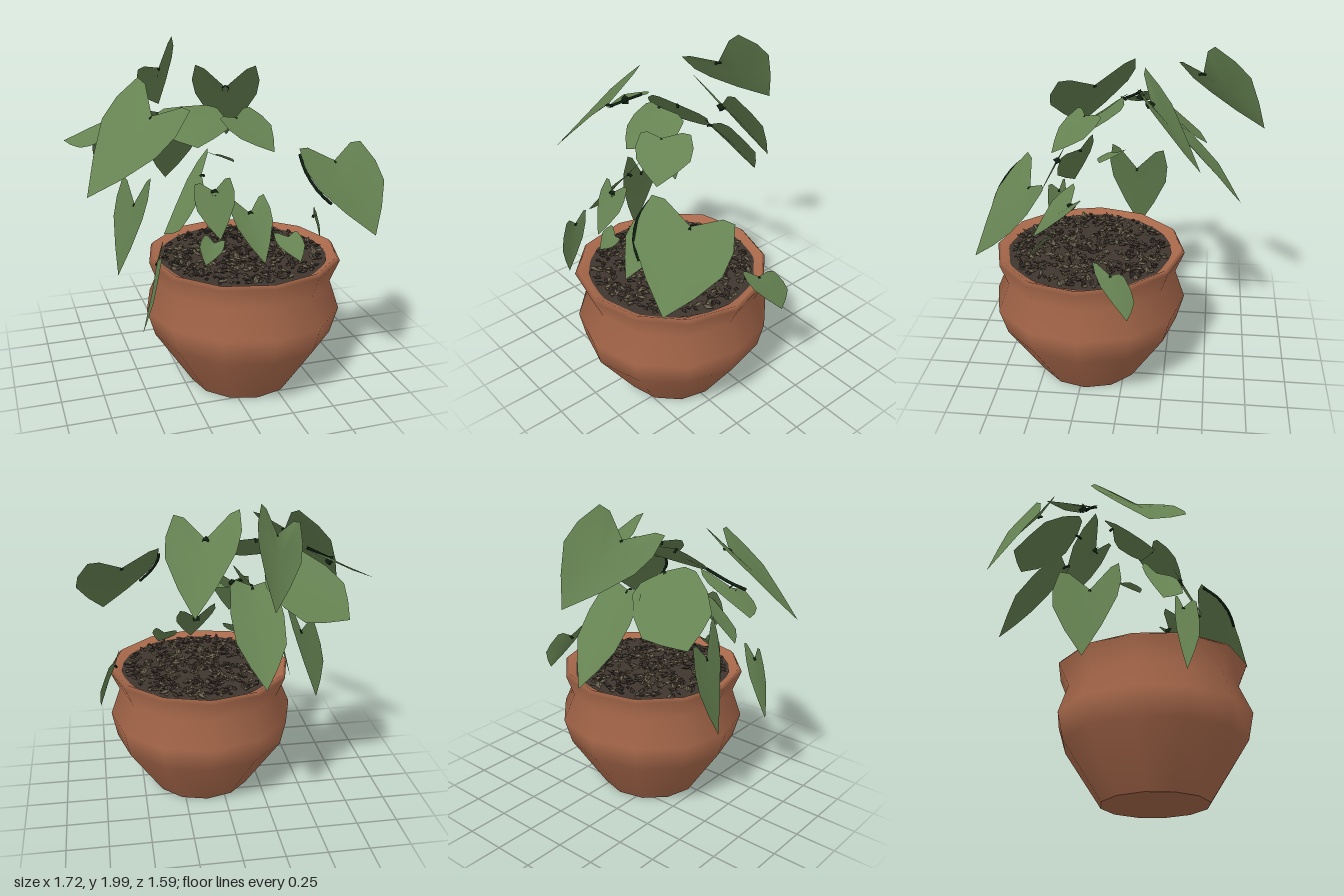
import * as THREE from 'three';

const V = (a) => new THREE.Vector3(...a);
const CX = 0.115, CZ = 0.22; // pot axis

function material(name, color, side = THREE.FrontSide) {
  const m = new THREE.MeshStandardMaterial({ color, side });
  m.name = name;
  return m;
}

function seeded(seed) {
  return () => (seed = (seed * 16807) % 2147483647) / 2147483647;
}

// Heart-shaped blade from its two lobe tops, notch and tip, with a creased midrib
function leafGeometry(left, right, notch, tip) {
  const [L, R, N, T] = [left, right, notch, tip].map(V);
  const along = T.clone().sub(N), across = L.clone().sub(R);
  const side = (P, k, out) => P.clone().addScaledVector(along, k).addScaledVector(across, out);
  const half = (P, s) => [
    P.clone().lerp(N, 0.3).addScaledVector(along, -0.06),
    P, side(P, 0.28, 0.07 * s), side(P, 0.55, 0.03 * s),
    side(P, 0.55, 0.03 * s).lerp(T, 0.5).addScaledVector(across, 0.03 * s)];
  const rim = [N, ...half(L, 1), T, ...half(R, -1).reverse()];
  const mid = L.clone().add(R).multiplyScalar(0.5).addScaledVector(along, 0.45);
  const centre = N.clone().lerp(T, 0.42).lerp(mid, 0.3);
  const pts = [centre, ...rim], index = [];
  rim.forEach((_, i) => index.push(0, 1 + i, 1 + (i + 1) % rim.length));
  const g = new THREE.BufferGeometry().setFromPoints(pts);
  // wind every blade so that its front looks upward
  const up = new THREE.Vector3().crossVectors(across, along).y;
  if (up < 0) index.reverse();
  g.setIndex(index);
  g.computeVertexNormals();
  return g;
}

// left lobe, right lobe, notch, tip
const LEAVES = {
  frontLeft: [[0.33, 1.49, 0.52], [0.78, 1.46, 0.35], [0.57, 1.39, 0.46], [0.70, 1.03, 0.75]],
  largeRight: [[-0.44, 1.83, 0.0], [-0.26, 1.72, 0.45], [-0.42, 1.66, 0.25], [-0.81, 1.28, 0.40]],
  outerRight: [[-0.66, 1.50, 0.08], [-0.46, 1.62, -0.06], [-0.64, 1.54, -0.02], [-0.85, 1.46, -0.16]],
  backRight: [[-0.45, 1.61, -0.09], [-0.19, 1.48, -0.31], [-0.28, 1.59, -0.15], [-0.65, 1.30, -0.41]],
  backTop: [[-0.38, 1.83, -0.27], [-0.12, 1.99, -0.48], [-0.22, 1.81, -0.42], [-0.14, 1.51, -0.79]],
  backLow: [[0.01, 1.50, -0.31], [-0.25, 1.48, -0.31], [-0.12, 1.48, -0.27], [-0.13, 1.03, -0.68]],
  backLeft: [[-0.08, 1.87, -0.09], [0.29, 1.85, -0.08], [0.12, 1.72, -0.14], [0.22, 1.36, -0.43]],
  middle: [[0.01, 1.64, 0.04], [-0.34, 1.63, 0.04], [-0.20, 1.66, 0.05], [-0.18, 1.48, 0.31]],
  middleLeft: [[0.18, 1.65, 0.13], [-0.05, 1.63, 0.30], [0.06, 1.62, 0.24], [0.23, 1.45, 0.41]],
  innerRight: [[-0.10, 1.45, 0.22], [-0.20, 1.25, 0.44], [-0.16, 1.33, 0.31], [-0.40, 1.03, 0.39]],
  frontHanging: [[-0.03, 1.33, 0.42], [-0.23, 1.31, 0.42], [-0.13, 1.27, 0.45], [-0.13, 1.03, 0.57]],
  frontDrooping: [[-0.42, 1.02, 0.46], [-0.46, 0.95, 0.58], [-0.47, 0.92, 0.51], [-0.56, 0.52, 0.53]],
  sideDrooping: [[-0.41, 1.28, 0.14], [-0.51, 1.21, -0.18], [-0.48, 1.09, -0.01], [-0.59, 0.64, -0.02]],
  lowFront: [[0.23, 1.16, 0.25], [0.0, 1.17, 0.33], [0.12, 1.08, 0.33], [0.13, 0.86, 0.57]],
  lowLeft: [[0.62, 0.98, 0.13], [0.69, 0.94, -0.05], [0.65, 0.92, 0.03], [0.75, 0.70, -0.07]],
  sproutLeft: [[0.24, 0.97, 0.40], [0.37, 0.98, 0.44], [0.32, 0.95, 0.43], [0.35, 0.84, 0.55]],
  sproutRight: [[-0.18, 1.02, 0.44], [-0.07, 0.98, 0.46], [-0.13, 0.97, 0.45], [-0.20, 0.87, 0.52]],
  sproutMiddle: [[-0.05, 1.38, 0.02], [0.01, 1.38, 0.12], [-0.02, 1.37, 0.07], [0.08, 1.34, 0.16]],
};
// leaves whose stalk joint is thick and dark
const KNOTTED = ['frontHanging', 'outerRight', 'backLeft', 'lowFront'];
// dark rolled leaf margins
const MARGINS = {
  frontLeft: [[0.33, 1.46, 0.53], [0.33, 1.39, 0.61], [0.38, 1.29, 0.68], [0.45, 1.22, 0.70]],
  outerRight: [[-0.66, 1.51, 0.08], [-0.60, 1.55, 0.02], [-0.48, 1.62, -0.04]],
};

export function createModel() {
  const plant = new THREE.Group();
  plant.name = 'pottedPlant';
  const clay = material('terracotta', 0xa9694b, THREE.DoubleSide);
  const green = material('leafGreen', 0x668352, THREE.DoubleSide);
  const earth = material('soilBrown', 0x40362f);
  const chipMat = material('barkChip', 0x6a624e);
  const dark = material('stemGreen', 0x0f2010);
  const rand = seeded(77);

  const add = (parent, name, geometry, mat) => {
    const mesh = new THREE.Mesh(geometry, mat);
    mesh.name = name;
    parent.add(mesh);
    return mesh;
  };

  // Pot: faceted turned body with a flared, slightly uneven rim
  const pot = new THREE.Group();
  pot.name = 'pot';
  pot.position.set(CX, 0, CZ);
  plant.add(pot);
  const profile = [[0.315, 0], [0.54, 0.34], [0.58, 0.50], [0.515, 0.67], [0.57, 0.80], [0.55, 0.82], [0.47, 0.77]]
    .map(([r, y]) => new THREE.Vector2(r, y));
  const body = new THREE.LatheGeometry(profile, 12);
  const p = body.attributes.position;
  for (let i = 0; i < p.count; i++) {
    const y = p.getY(i), a = Math.atan2(p.getZ(i), p.getX(i));
    const k = y > 0.1 ? 1 + 0.012 * Math.sin(3 * a + 9 * y) : 1;
    p.setX(i, p.getX(i) * k);
    p.setZ(i, p.getZ(i) * k);
  }
  add(pot, 'potBody', body, clay);
  add(pot, 'potBase', new THREE.CircleGeometry(0.315, 12).rotateX(Math.PI / 2), clay);

  // Soil with scattered bark chips
  add(pot, 'soil', new THREE.CircleGeometry(0.495, 24).rotateX(-Math.PI / 2).translate(0, 0.792, 0), earth);
  const chips = new THREE.Group();
  chips.name = 'barkChips';
  pot.add(chips);
  const chipShape = new THREE.OctahedronGeometry(1, 0);
  for (let i = 0; i < 520; i++) {
    const r = 0.465 * Math.sqrt(rand()), a = rand() * Math.PI * 2;
    const chip = add(chips, 'barkChip', chipShape, i % 2 ? earth : chipMat);
    chip.position.set(r * Math.cos(a), 0.797 + 0.014 * rand(), r * Math.sin(a));
    chip.scale.set(0.018 + 0.02 * rand(), 0.01, 0.01 + 0.009 * rand());
    chip.rotation.set(rand() - 0.5, rand() * 6.28, rand() - 0.5);
  }

  // Leaves, each with a short stalk stub at the notch
  const leaves = new THREE.Group();
  leaves.name = 'leaves';
  plant.add(leaves);
  for (const [name, [l, r, n, t]] of Object.entries(LEAVES)) {
    add(leaves, name + 'Leaf', leafGeometry(l, r, n, t), green);
    if (name.startsWith('sprout')) continue;
    const N = V(n), end = N.clone().lerp(V(t), -0.07);
    end.y -= 0.035;
    const curve = new THREE.QuadraticBezierCurve3(N.clone().lerp(V(t), 0.04), N, end);
    const radius = KNOTTED.includes(name) ? 0.022 : 0.008;
    add(leaves, name + 'Stalk', new THREE.TubeGeometry(curve, 4, radius, 5), dark);
  }
  for (const [name, points] of Object.entries(MARGINS)) {
    const curve = new THREE.CatmullRomCurve3(points.map(V));
    add(leaves, name + 'Margin', new THREE.TubeGeometry(curve, 6, 0.009, 5), dark);
  }
  return plant;
}
